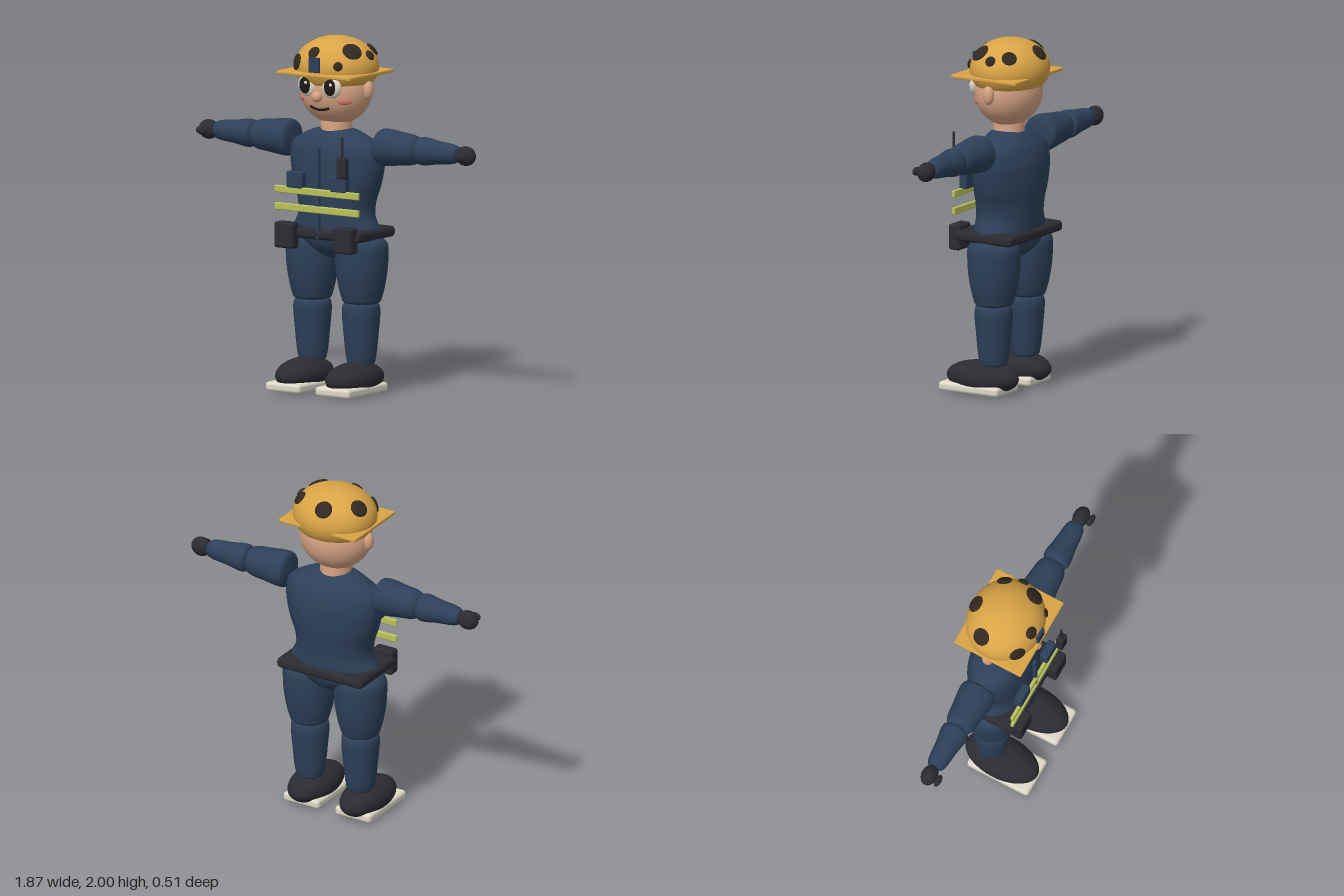
import * as THREE from 'three';
import { RoundedBoxGeometry } from 'three/addons/geometries/RoundedBoxGeometry.js';

const mat = (name, color, side = THREE.FrontSide) => {
  const m = new THREE.MeshStandardMaterial({ color, side });
  m.name = name;
  return m;
};

export function createModel() {
  const model = new THREE.Group();
  model.name = 'rescueWorker';
  const navy = mat('navy cloth', 0x2d4059);
  const dark = mat('dark leather', 0x2b2b32);
  const cream = mat('cream', 0xddd8c8);
  const lime = mat('reflective lime', 0xb9c25a);
  const gold = mat('helmet gold', 0xd9a446, THREE.DoubleSide);
  const spotBrown = mat('spot brown', 0x31291f);
  const skin = mat('skin', 0xd6a384);
  const pink = mat('cheek pink', 0xcc7666);
  const black = mat('black', 0x1c1917);

  const add = (name, geo, material, pos = [0, 0, 0], parent = model) => {
    const m = new THREE.Mesh(geo, material);
    m.name = name;
    m.position.set(...pos);
    parent.add(m);
    return m;
  };
  const ball = (name, material, pos, radii) => {
    const m = add(name, new THREE.SphereGeometry(1, 36, 24), material, pos);
    m.scale.set(...radii);
    return m;
  };
  const box = (name, material, pos, size, r = 0.008) =>
    add(name, new RoundedBoxGeometry(...size, 3, r), material, pos);

  // Smooth elliptical body through rings [y, rx, rz, cz], listed from top to bottom
  const loft = (rings, steps = 36, segs = 40) => {
    const curve = (k) => new THREE.CatmullRomCurve3(
      rings.map((r) => new THREE.Vector3(r[0], r[k], 0)), false, 'centripetal');
    const xs = curve(1), zs = curve(2);
    const geo = new THREE.CylinderGeometry(1, 1, 1, segs, steps, true);
    const p = geo.attributes.position;
    for (let i = 0; i < p.count; i++) {
      const t = Math.floor(i / (segs + 1)) / steps;
      const a = xs.getPoint(t), b = zs.getPoint(t);
      const f = Math.min(t * (rings.length - 1), rings.length - 1.001), n = Math.floor(f);
      const c = THREE.MathUtils.lerp(rings[n][3] || 0, rings[n + 1][3] || 0, f - n);
      p.setXYZ(i, p.getX(i) * Math.max(a.y, 0.0005), a.x, p.getZ(i) * Math.max(b.y, 0.0005) + c);
    }
    geo.computeVertexNormals();
    return geo;
  };
  const round = (rings) => loft(rings.map(([y, r]) => [y, r, r, 0]));

  // Torso with pelvis
  add('torso', loft([
    [1.49, 0, 0, -0.03], [1.48, 0.11, 0.08, -0.03], [1.44, 0.21, 0.12, -0.035],
    [1.39, 0.285, 0.15, -0.04], [1.3, 0.298, 0.172, -0.045], [1.17, 0.272, 0.176, -0.042],
    [1.08, 0.24, 0.17, -0.038], [1.0, 0.235, 0.166, -0.036], [0.92, 0.27, 0.162, -0.035],
    [0.86, 0.25, 0.155, -0.035], [0.8, 0.14, 0.12, -0.035], [0.76, 0.06, 0.06, -0.035],
    [0.745, 0, 0, -0.035]], 60), navy);
  box('frontZip', navy, [0, 1.135, 0.148], [0.024, 0.52, 0.024]);
  for (const y of [1.14, 1.043]) box('reflectiveStrip', lime, [0, y, 0.156], [0.57, 0.04, 0.02], 0.006);
  box('belt', dark, [0, 0.903, -0.027], [0.56, 0.062, 0.375], 0.025);

  // Radio on the chest
  box('radio', dark, [0.205, 1.3, 0.202], [0.064, 0.12, 0.045], 0.012);
  add('antenna', new THREE.CylinderGeometry(0.007, 0.007, 0.13, 12), dark, [0.205, 1.41, 0.202]);

  // Mirrored limbs, pockets and pouches
  for (const s of [1, -1]) {
    add('thigh', round([[0.9, 0], [0.885, 0.09], [0.85, 0.142], [0.75, 0.148], [0.65, 0.138],
      [0.55, 0.116], [0.515, 0.1], [0.505, 0]]), navy, [s * 0.167, 0, -0.038]);
    add('shin', round([[0.52, 0], [0.513, 0.09], [0.49, 0.105], [0.34, 0.098], [0.2, 0.082],
      [0.172, 0.072], [0.168, 0]]), navy, [s * 0.165, 0, -0.035]);
    ball('shoe', dark, [s * 0.17, 0.095, 0.034], [0.125, 0.093, 0.224]);
    box('sole', cream, [s * 0.169, 0.038, 0.063], [0.235, 0.054, 0.39], 0.02);

    // Arm built along y, then laid out sideways
    const arm = new THREE.Group();
    arm.name = 'arm';
    arm.position.set(s * 0.285, 1.4, -0.038);
    arm.rotation.z = -s * Math.PI / 2;
    model.add(arm);
    add('upperArm', round([[0.278, 0], [0.272, 0.06], [0.25, 0.079], [0.15, 0.094], [0.04, 0.104],
      [0.015, 0.094], [0, 0]]), navy, [0, 0, 0], arm);
    add('forearm', round([[0.54, 0], [0.534, 0.04], [0.51, 0.053], [0.4, 0.066], [0.3, 0.079],
      [0.278, 0.068], [0.27, 0]]), navy, [0, 0, 0], arm);
    ball('hand', dark, [s * 0.872, 1.397, -0.04], [0.062, 0.055, 0.046]);
    ball('thumb', dark, [s * 0.88, 1.397, 0.018], [0.037, 0.024, 0.018]);

    box('chestPocket', navy, [s * 0.148, 1.2, 0.148], [0.108, 0.092, 0.05], 0.01);
    box('beltPouch', dark, [s * 0.199, 0.888, 0.168], [0.128, 0.146, 0.074], 0.015);
  }

  // Head
  const headZ = (x, y) => -0.03 + 0.18 * Math.sqrt(Math.max(0, 1 - (x / 0.213) ** 2 - ((y - 1.7) / 0.195) ** 2));
  add('neck', new THREE.CylinderGeometry(0.085, 0.09, 0.14, 36), skin, [0, 1.5, -0.03]);
  ball('head', skin, [0, 1.7, -0.03], [0.213, 0.195, 0.18]);
  ball('nose', skin, [0, 1.678, 0.157], [0.031, 0.031, 0.029]);
  for (const s of [1, -1]) {
    ball('ear', skin, [s * 0.215, 1.712, -0.033], [0.03, 0.055, 0.033]);
    ball('eye', cream, [s * 0.08, 1.735, 0.13], [0.063, 0.063, 0.032]);
    ball('pupil', black, [s * 0.084, 1.737, 0.153], [0.038, 0.047, 0.014]);
    ball('eyeGlint', cream, [s * 0.084 + 0.012, 1.753, 0.164], [0.01, 0.01, 0.005]);
    const cheek = ball('cheek', pink, [s * 0.145, 1.655, headZ(0.145, 1.655)], [0.04, 0.018, 0.009]);
    cheek.rotation.y = s * 0.75;
  }
  const smile = [-0.065, -0.035, 0, 0.035, 0.065].map((x) => {
    const y = 1.602 + 3.5 * x * x;
    return new THREE.Vector3(x, y, headZ(x, y) + 0.003);
  });
  add('mouth', new THREE.TubeGeometry(new THREE.CatmullRomCurve3(smile), 24, 0.007, 8), black);

  // Helmet
  const centre = new THREE.Vector3(0, 1.83, -0.037), radii = new THREE.Vector3(0.243, 0.17, 0.217);
  const dome = add('helmetDome', new THREE.SphereGeometry(1, 48, 28, 0, Math.PI * 2, 0, Math.PI * 0.68),
    gold, centre.toArray());
  dome.scale.copy(radii);
  box('helmetBrim', gold, [0, 1.8, -0.018], [0.5, 0.02, 0.425], 0.006);
  box('helmetBadge', navy, [0, 1.86, 0.182], [0.07, 0.085, 0.018], 0.004);

  // Helmet spots [x, y, z, radius], pressed onto the dome
  const spots = [
    [0.16, 1.93, 0.05, 0.055], [0.215, 1.905, -0.045, 0.03], [0.17, 1.925, -0.14, 0.042],
    [0.13, 1.857, 0.14, 0.026], [-0.03, 1.92, 0.135, 0.036], [-0.15, 1.857, 0.115, 0.047],
    [-0.19, 1.93, -0.09, 0.05], [-0.03, 1.925, -0.2, 0.05]];
  for (const [x, y, z, r] of spots) {
    const d = new THREE.Vector3(x, y, z).sub(centre).divide(radii).normalize();
    const at = d.clone().multiply(radii).add(centre);
    const spot = ball('helmetSpot', spotBrown, at.toArray(), [r, r, 0.014]);
    spot.quaternion.setFromUnitVectors(new THREE.Vector3(0, 0, 1), d.divide(radii).normalize());
  }
  return model;
}
